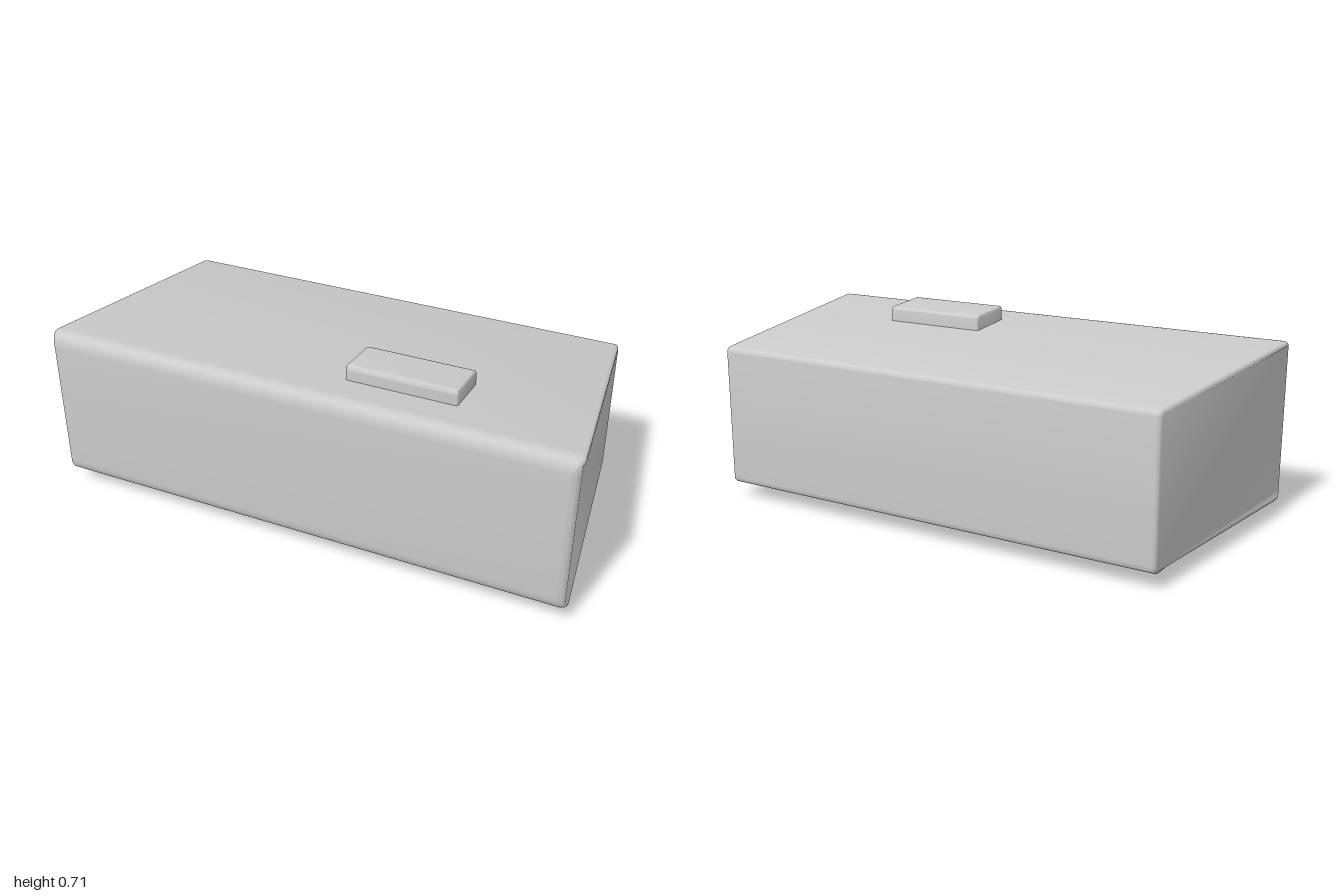
import * as THREE from 'three';
import { toCreasedNormals } from 'three/addons/utils/BufferGeometryUtils.js';

const material = new THREE.MeshStandardMaterial({ color: 0xcccccc });

// Side outline with rounded corners; each corner is [z, y, rounding]
function outline(corners) {
  const shape = new THREE.Shape();
  const n = corners.length;
  corners.forEach(([z, y, r], i) => {
    const p = new THREE.Vector2(z, y);
    const toward = ([a, b]) => new THREE.Vector2(a, b).sub(p).setLength(r).add(p);
    const start = toward(corners[(i + n - 1) % n]);
    const end = toward(corners[(i + 1) % n]);
    if (i === 0) shape.moveTo(start.x, start.y);
    else shape.lineTo(start.x, start.y);
    shape.quadraticCurveTo(z, y, end.x, end.y);
  });
  shape.closePath();
  return shape;
}

// Extrude a side outline across x, with softened ends
function block(name, corners, width, bevel, x = 0, reshape = null) {
  const geo = new THREE.ExtrudeGeometry(outline(corners), {
    depth: width - 2 * bevel, curveSegments: 8,
    bevelThickness: bevel, bevelSize: bevel, bevelOffset: -bevel, bevelSegments: 4,
  });
  geo.translate(0, 0, -width / 2 + bevel);
  geo.rotateY(-Math.PI / 2);
  if (reshape) {
    const p = geo.attributes.position;
    for (let i = 0; i < p.count; i++) p.setX(i, p.getX(i) * reshape(p.getZ(i)));
  }
  const mesh = new THREE.Mesh(toCreasedNormals(geo, 0.7), material);
  mesh.name = name;
  mesh.position.x = x;
  return mesh;
}

// Body narrows toward the back and rounds in slightly at the front corners
function taper(z) {
  if (z <= 0.42) return 1 - (0.42 - z) * 0.125;
  return 1 - 0.02 * ((z - 0.42) / 0.047) ** 2;
}

export function createModel() {
  const group = new THREE.Group();
  group.name = 'tableClock';

  // Wedge-shaped body with a sloping top
  group.add(block('body', [
    [-0.465, 0.06, 0.025], [0.467, 0.06, 0.06],
    [0.467, 0.671, 0.06], [-0.465, 0.599, 0.025],
  ], 2, 0.015, 0, taper));

  // Push button on the sloping top
  group.add(block('topButton', [
    [0.108, 0.6, 0.01], [0.297, 0.6, 0.01],
    [0.297, 0.714, 0.018], [0.108, 0.699, 0.018],
  ], 0.41, 0.009, 0.325));

  // Pair of flat feet
  for (const side of [1, -1]) {
    group.add(block(side > 0 ? 'leftFoot' : 'rightFoot', [
      [-0.322, 0, 0.008], [0.297, 0, 0.008],
      [0.297, 0.08, 0.008], [-0.322, 0.08, 0.008],
    ], 0.717, 0.004, side * 0.481));
  }
  return group;
}
